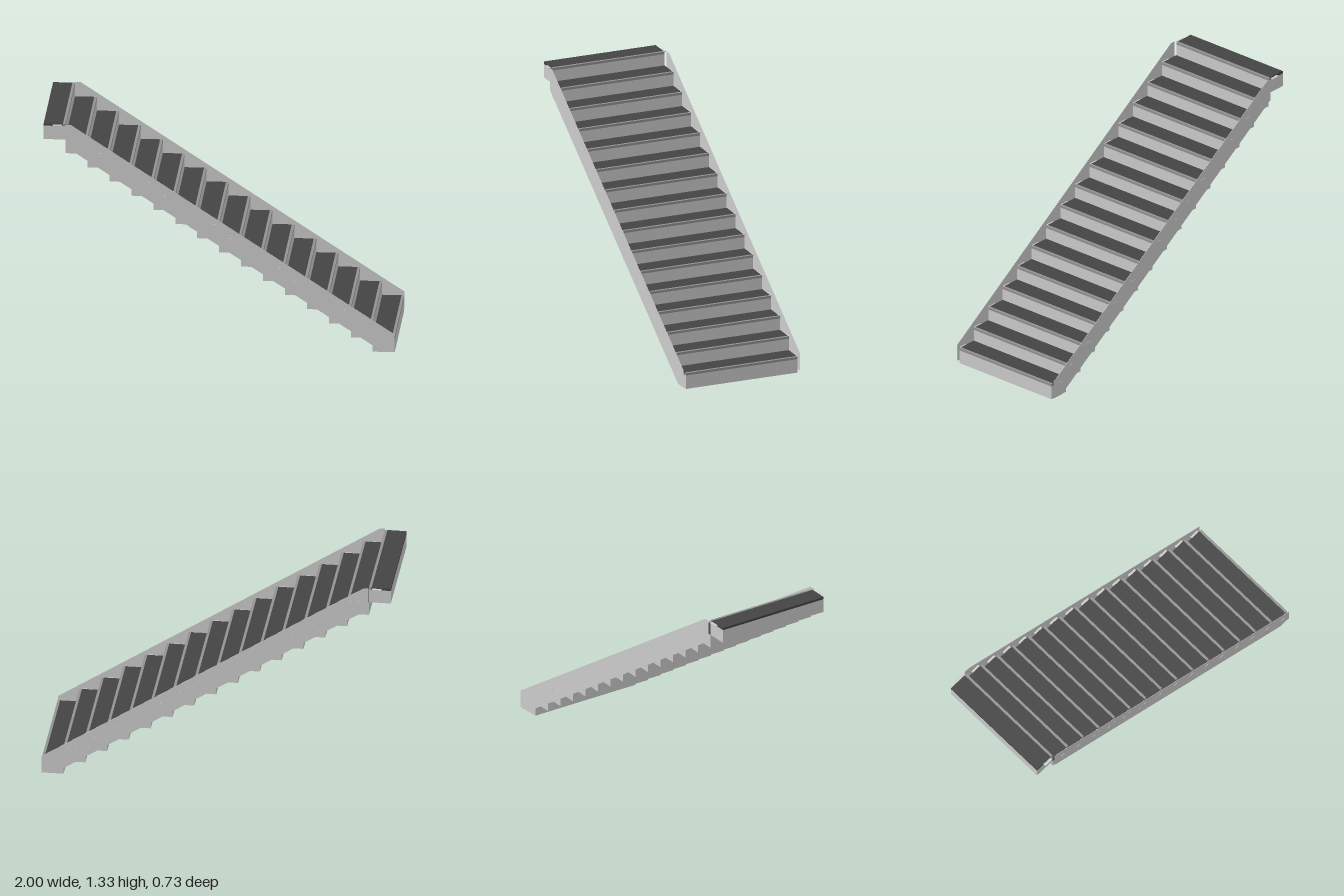
import * as THREE from 'three';

const COUNT = 16, RUN = 0.125, RISE = 0.0821;
const HALF_WIDTH = 0.347, STRINGER_Z = 0.363;
const TREAD = 0.014, NOSING = 0.015, BODY = 0.081;

export function createModel() {
  const grey = new THREE.MeshStandardMaterial({ color: 0xcccccc });
  const dark = new THREE.MeshStandardMaterial({ color: 0x444444 });
  const mid = new THREE.MeshStandardMaterial({ color: 0x929292 });
  const stairs = new THREE.Group();
  stairs.name = 'staircase';

  // Box given by its minimum and maximum corners
  const box = (name, material, parent, [x0, y0, z0], [x1, y1, z1]) => {
    const mesh = new THREE.Mesh(new THREE.BoxGeometry(x1 - x0, y1 - y0, z1 - z0), material);
    mesh.position.set((x0 + x1) / 2, (y0 + y1) / 2, (z0 + z1) / 2);
    mesh.name = name;
    parent.add(mesh);
  };

  // Steps climb from +x to -x
  for (let i = 0; i < COUNT; i++) {
    const step = new THREE.Group();
    step.name = `step${i + 1}`;
    step.position.set(1 - RUN * i, RISE * i, 0);
    stairs.add(step);
    const w = HALF_WIDTH, top = BODY + TREAD;
    box('stepBody', grey, step, [-RUN, 0, -w], [0, BODY, w]);
    box('tread', dark, step, [-RUN, BODY, -w], [-NOSING, top, w]);
    box('nosing', mid, step, [-NOSING, BODY, -w], [0, top, w]);
    // Thin tabs joining the tread to the stringers
    for (const s of [-1, 1]) {
      const z = [s * w, s * (STRINGER_Z + 0.001)].sort((a, b) => a - b);
      box('treadTab', grey, step, [-0.073, BODY + 0.005, z[0]], [-0.019, BODY + 0.009, z[1]]);
    }
  }

  // Sheet stringers on both sides
  const outline = new THREE.Shape([
    [-0.875, 1.195], [0.927, 0.01], [1, 0.01], [1, 0.113], [-0.845, 1.326], [-0.875, 1.326],
  ].map(([x, y]) => new THREE.Vector2(x, y)));
  const sheet = new THREE.ExtrudeGeometry(outline, { depth: 0.002, bevelEnabled: false });
  sheet.translate(0, 0, -0.001);
  for (const s of [-1, 1]) {
    const stringer = new THREE.Mesh(sheet, grey);
    stringer.name = s > 0 ? 'frontStringer' : 'backStringer';
    stringer.position.z = s * (STRINGER_Z - 0.001);
    stairs.add(stringer);
  }
  return stairs;
}
